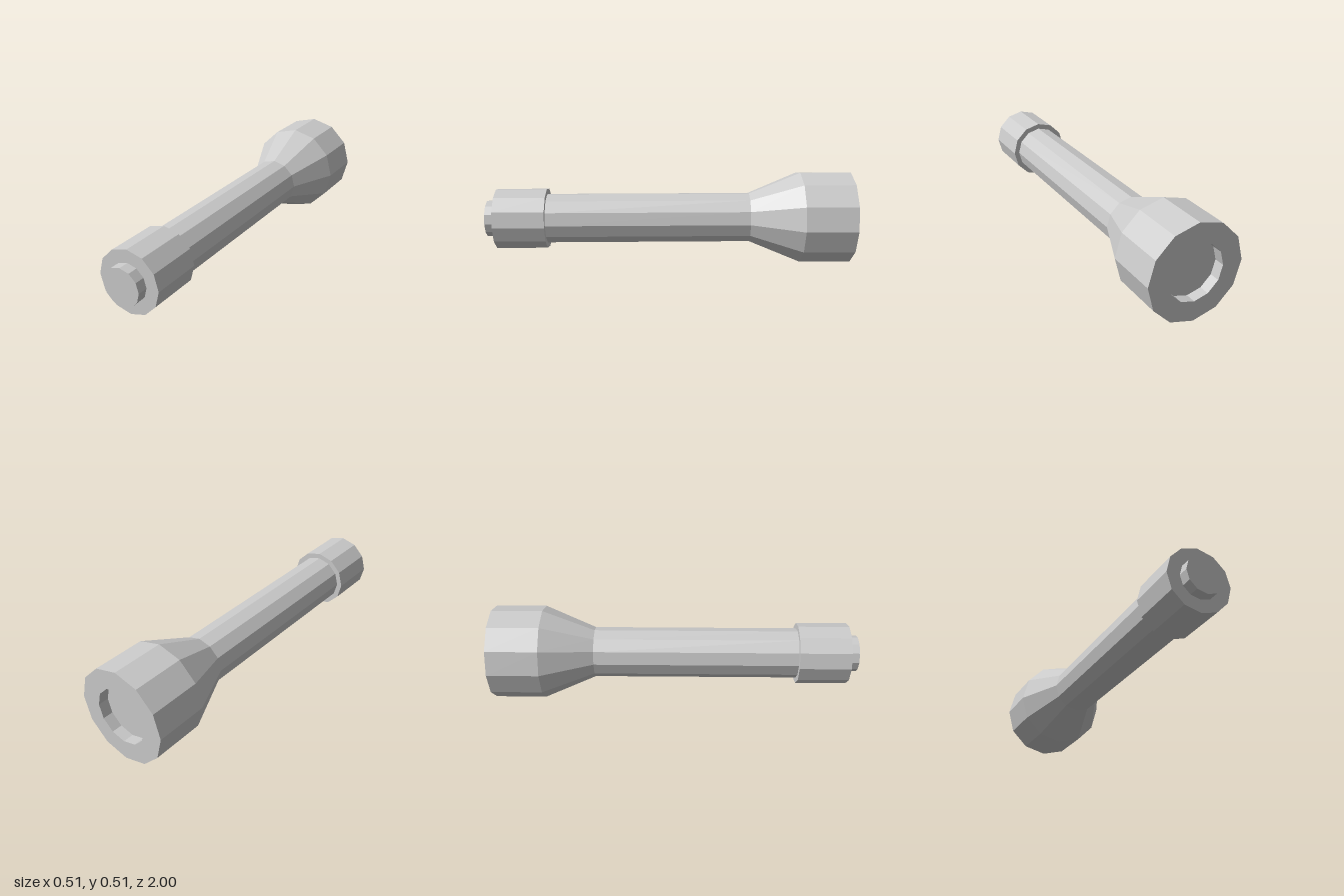
import * as THREE from 'three';

const SIDES = 12;
const AXIS_HEIGHT = 0.254;

export function createModel() {
  const group = new THREE.Group();
  group.name = 'flashlight';
  const material = new THREE.MeshStandardMaterial({ color: 0xcccccc, flatShading: true });

  // Turned part along z; the profile lists [radius, z] from back to front
  function addTurned(name, profile) {
    const points = profile.map(([r, z]) => new THREE.Vector2(r, z));
    const geometry = new THREE.LatheGeometry(points, SIDES);
    geometry.rotateX(Math.PI / 2);
    const mesh = new THREE.Mesh(geometry, material);
    mesh.name = name;
    mesh.position.y = AXIS_HEIGHT;
    group.add(mesh);
  }

  // Recessed lens
  addTurned('lens', [[0, -0.945], [0.148, -0.945]]);

  // Head: recess wall, rim, cylinder and taper to the handle
  addTurned('head', [
    [0.148, -0.945], [0.148, -1], [0.254, -1], [0.254, -0.722], [0.137, -0.445],
  ]);

  // Long handle tube
  addTurned('handle', [[0.137, -0.445], [0.137, 0.667]]);

  // Wider end cap
  addTurned('endCap', [[0.137, 0.667], [0.167, 0.667], [0.167, 0.945], [0.1, 0.945]]);

  // Push button on the end
  addTurned('button', [[0.1, 0.945], [0.1, 1], [0, 1]]);

  return group;
}
